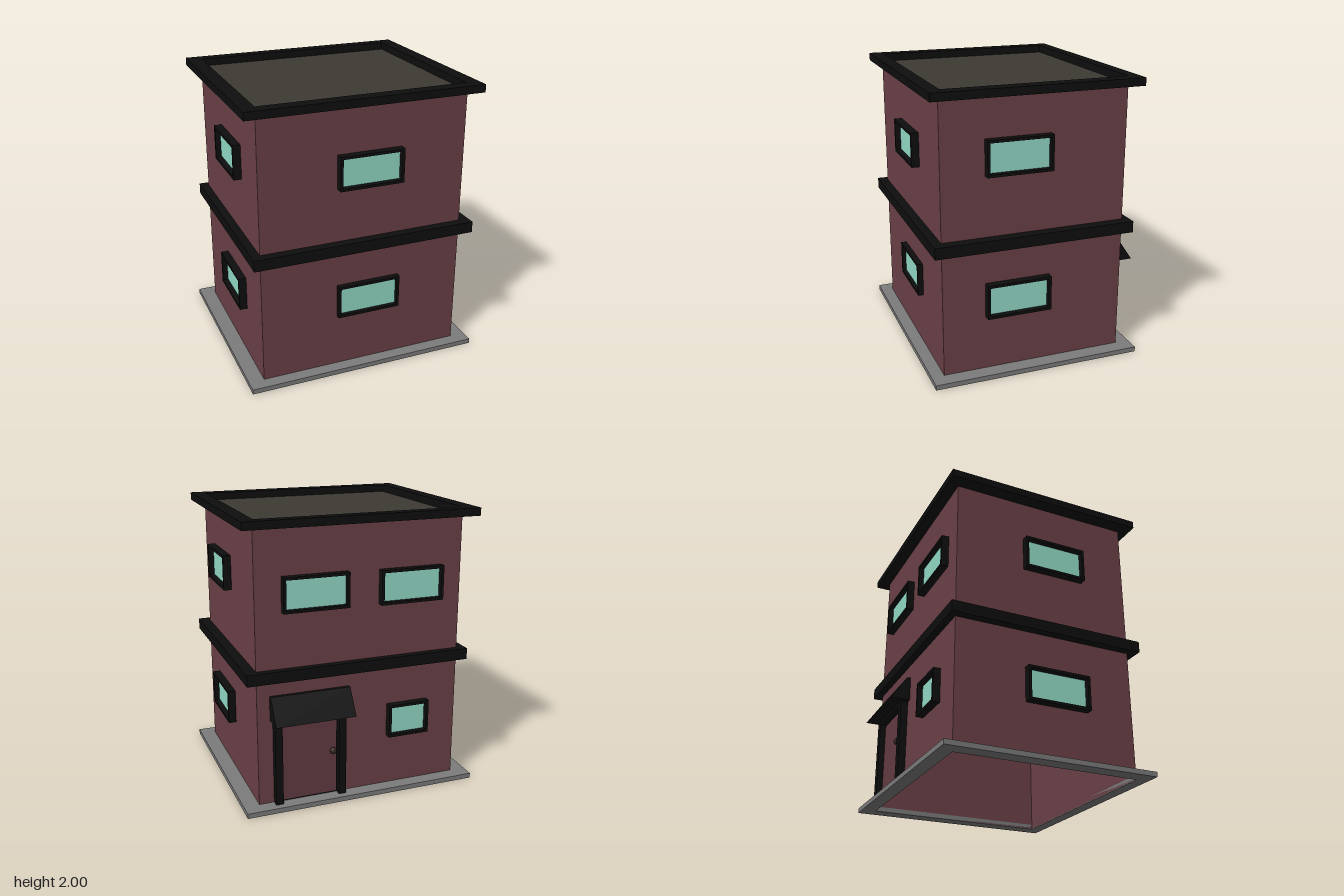
import * as THREE from 'three';

const mat = (color, side = THREE.FrontSide) =>
  new THREE.MeshStandardMaterial({ color, side, flatShading: true });

const brick = mat(0x6b4147, THREE.DoubleSide);
const trim = mat(0x0e0e0e);
const glass = mat(0x93dcc8, THREE.DoubleSide);
const stone = mat(0x7c7c7c);
const roofing = mat(0x3d3a34, THREE.DoubleSide);
const doorPaint = mat(0x643c42);
const bronze = mat(0x33291f);

function add(parent, name, geometry, material) {
  const mesh = new THREE.Mesh(geometry, material);
  mesh.name = name;
  parent.add(mesh);
  return mesh;
}

// Box given by its two extreme corners
function box(x0, x1, y0, y1, z0, z1) {
  return new THREE.BoxGeometry(x1 - x0, y1 - y0, z1 - z0)
    .translate((x0 + x1) / 2, (y0 + y1) / 2, (z0 + z1) / 2);
}

// Box without top and bottom
function tube(...b) {
  const g = box(...b);
  const i = Array.from(g.index.array);
  g.setIndex([...i.slice(0, 12), ...i.slice(24)]);
  return g;
}

function rect(Type, x0, x1, y0, y1) {
  return new Type([[x0, y0], [x1, y0], [x1, y1], [x0, y1]].map(p => new THREE.Vector2(...p)));
}

// Rectangular ring in the XY plane, extruded along +z
function ring(outer, inner, depth) {
  const shape = rect(THREE.Shape, ...outer);
  shape.holes.push(rect(THREE.Path, ...inner));
  return new THREE.ExtrudeGeometry(shape, { depth, bevelEnabled: false });
}

// Flat ring on the ground plane; bounds are x0, x1, z0, z1
function flatRing([a, b, c, d], [e, f, g, h], y, height) {
  return ring([a, b, -d, -c], [e, f, -h, -g], height).rotateX(-Math.PI / 2).translate(0, y, 0);
}

// Window facing +z, centred on its own origin, back on z = 0
function makeWindow(name, w, h, depth) {
  const g = new THREE.Group();
  g.name = name;
  const x = w / 2, y = h / 2, bar = 0.019;
  add(g, 'windowFrame', ring([-x, x, -y, y], [-x + bar, x - bar, -y + bar, y - bar], depth), trim);
  add(g, 'windowPane', new THREE.PlaneGeometry(w - bar, h - bar).translate(0, 0, depth * 0.3), glass);
  return g;
}

export function createModel() {
  const model = new THREE.Group();
  model.name = 'house';
  const W = 0.74, ZB = -0.63, ZF = 0.68;
  const plan = [-W, W, ZB, ZF];

  // Plinth and the two storeys
  add(model, 'plinth', flatRing([-0.85, 0.85, -0.73, 0.77], plan, 0, 0.035), stone);
  add(model, 'lowerWalls', tube(-W, W, 0.005, 0.92, ZB, ZF), brick);
  add(model, 'floorBand', box(-0.8, 0.815, 0.92, 1.0, -0.68, 0.745), trim);
  add(model, 'upperWalls', tube(-W, W, 1.0, 1.945, ZB, ZF), brick);

  // Flat roof sunk inside its rim
  add(model, 'roofRim', flatRing([-0.835, 0.83, -0.71, 0.757], [-0.735, 0.732, -0.628, 0.665], 1.945, 0.055), trim);
  add(model, 'roofDeck', new THREE.PlaneGeometry(2 * W, ZF - ZB)
    .rotateX(-Math.PI / 2).translate(0, 1.947, (ZF + ZB) / 2), roofing);

  // Windows: name, centre x, y, z, turn, width, height, depth
  const H = Math.PI / 2;
  const windows = [
    ['frontUpperWindow', 0.035, 1.5, ZF, 0, 0.46, 0.24, 0.055],
    ['frontLowerWindow', 0.035, 0.545, ZF, 0, 0.46, 0.24, 0.04],
    ['leftUpperWindow', 0.745, 1.545, 0.15, H, 0.46, 0.245, 0.055],
    ['leftLowerWindow', 0.745, 0.55, 0.15, H, 0.46, 0.245, 0.055],
    ['rightUpperWindow', -W, 1.525, 0.1, -H, 0.46, 0.245, 0.055],
    ['rightLowerWindow', -W, 0.533, 0.1, -H, 0.46, 0.245, 0.055],
    ['backUpperWindowA', 0.328, 1.505, ZB, 2 * H, 0.46, 0.24, 0.052],
    ['backUpperWindowB', -0.36, 1.497, ZB, 2 * H, 0.46, 0.24, 0.052],
    ['backLowerWindow', -0.357, 0.525, ZB, 2 * H, 0.305, 0.24, 0.052],
  ];
  for (const [name, x, y, z, turn, w, h, depth] of windows) {
    const win = makeWindow(name, w, h, depth);
    win.position.set(x, y, z);
    win.rotation.y = turn;
    model.add(win);
  }

  // Door with posts, lintel, knob and sloping canopy on the back
  const entrance = new THREE.Group();
  entrance.name = 'entrance';
  model.add(entrance);
  for (const x of [0.12, 0.58]) {
    add(entrance, 'doorPost', box(x, x + 0.053, 0.003, 0.66, -0.682, ZB), trim);
  }
  add(entrance, 'doorLintel', box(0.12, 0.633, 0.62, 0.68, -0.682, ZB), trim);
  add(entrance, 'doorReveal', box(0.173, 0.58, 0.035, 0.62, -0.635, ZB), trim);
  add(entrance, 'door', box(0.18, 0.573, 0.047, 0.613, -0.642, ZB), doorPaint);
  add(entrance, 'knobNeck', new THREE.CylinderGeometry(0.011, 0.011, 0.03, 10)
    .rotateX(H).translate(0.212, 0.37, -0.652), bronze);
  add(entrance, 'doorKnob', new THREE.SphereGeometry(0.025, 12, 8)
    .scale(1, 1, 0.7).translate(0.212, 0.37, -0.672), bronze);

  const profile = new THREE.Shape([[0.63, 0.645], [0.773, 0.645], [0.655, 0.818], [0.63, 0.818]]
    .map(p => new THREE.Vector2(...p)));
  add(entrance, 'canopy', new THREE.ExtrudeGeometry(profile, { depth: 0.568, bevelEnabled: false })
    .rotateY(H).translate(0.083, 0, 0), trim);

  return model;
}
